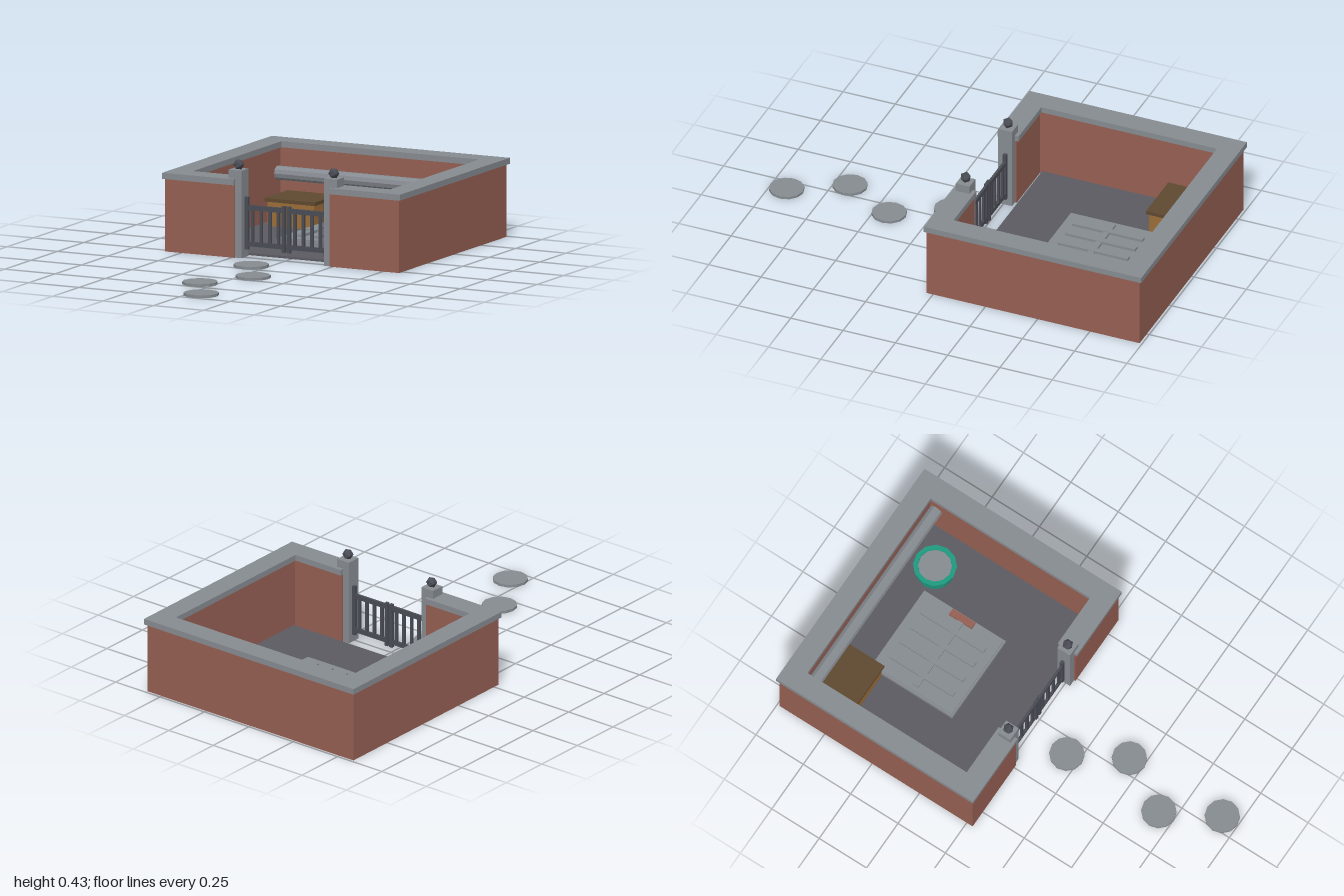
import * as THREE from 'three';

const mat = (name, color, flatShading = false) => {
  const m = new THREE.MeshStandardMaterial({ color, flatShading });
  m.name = name;
  return m;
};

export function createModel() {
  const root = new THREE.Group();
  root.name = 'walledYard';

  const brick = mat('brick', 0x955f53);
  const stone = mat('stone', 0x868b91, true);
  const paving = mat('paving', 0x5b5a62);
  const iron = mat('iron', 0x4a4c55, true);
  const wood = mat('wood', 0x9a6c38);
  const darkWood = mat('darkWood', 0x5e4830);
  const teal = mat('teal', 0x1f9a80, true);

  const add = (name, geo, material, parent = root) => {
    const m = new THREE.Mesh(geo, material);
    m.name = name;
    parent.add(m);
    return m;
  };
  // box from its extents
  const box = (name, x0, x1, y0, y1, z0, z1, material, parent) => {
    const m = add(name, new THREE.BoxGeometry(x1 - x0, y1 - y0, z1 - z0), material, parent);
    m.position.set((x0 + x1) / 2, (y0 + y1) / 2, (z0 + z1) / 2);
    return m;
  };
  // one-piece enclosure outline with an opening at the front
  const enclosure = (name, xo, xi, zb, zbi, zfi, zf, gap, y0, y1, material) => {
    const pts = [[gap, zf], [xo, zf], [xo, zb], [-xo, zb], [-xo, zf], [-gap, zf],
      [-gap, zfi], [-xi, zfi], [-xi, zbi], [xi, zbi], [xi, zfi], [gap, zfi]];
    const shape = new THREE.Shape(pts.map(([x, z]) => new THREE.Vector2(x, -z)));
    const geo = new THREE.ExtrudeGeometry(shape, { depth: y1 - y0, bevelEnabled: false });
    geo.rotateX(-Math.PI / 2);
    add(name, geo, material).position.y = y0;
  };

  // yard walls, coping and floor
  enclosure('brickWall', 0.58, 0.5, -0.988, -0.91, -0.05, 0.031, 0.236, 0, 0.325, brick);
  enclosure('wallCoping', 0.59, 0.49, -1, -0.9, -0.06, 0.04, 0.236, 0.325, 0.352, stone);
  box('yardFloor', -0.5, 0.5, 0, 0.01, -0.91, -0.06, paving);

  // gate pillars, finials and gate leaves
  for (const s of [-1, 1]) {
    const side = new THREE.Group();
    side.name = s > 0 ? 'leftGateSide' : 'rightGateSide';
    root.add(side);
    const bar = (name, xa, xb, y0, y1, d) =>
      box(name, Math.min(s * xa, s * xb), Math.max(s * xa, s * xb), y0, y1, -0.012 - d, -0.012 + d, iron, side);

    box('gatePillar', s * 0.237 - 0.033, s * 0.237 + 0.033, 0, 0.39, -0.042, 0.024, stone, side);
    add('pillarFinial', new THREE.IcosahedronGeometry(0.025, 0), iron, side).position.set(s * 0.236, 0.411, -0.009);

    bar('hingeStile', 0.188, 0.204, 0.035, 0.27, 0.008);
    bar('meetingStile', 0.005, 0.021, 0.035, 0.242, 0.008);
    bar('topRail', 0.021, 0.188, 0.212, 0.234, 0.006);
    bar('bottomRail', 0.021, 0.188, 0.05, 0.07, 0.006);
    for (const x of [0.041, 0.083, 0.126, 0.168]) bar('gateBar', x - 0.007, x + 0.007, 0.07, 0.212, 0.005);
  }

  // pipe along the back wall
  const pipe = add('wallPipe', new THREE.CylinderGeometry(0.031, 0.031, 1, 10), stone);
  pipe.rotation.z = Math.PI / 2;
  pipe.position.set(0, 0.215, -0.879);

  // hatch in the middle of the floor
  box('hatchFrame', -0.213, 0.213, 0.01, 0.032, -0.75, -0.32, stone);
  box('hatchPanel', -0.205, 0.205, 0.032, 0.038, -0.742, -0.328, stone);
  for (const x of [-0.124, -0.042, 0.04, 0.122]) box('hatchRib', x - 0.013, x + 0.013, 0.038, 0.05, -0.705, -0.37, stone);
  box('hatchCrossRib', -0.184, 0.174, 0.038, 0.048, -0.548, -0.519, stone);
  box('hatchHandle', 0.174, 0.206, 0.038, 0.051, -0.595, -0.475, brick);

  // wooden chest
  box('chestBody', -0.45, -0.22, 0.01, 0.12, -0.89, -0.69, wood);
  box('chestLid', -0.46, -0.21, 0.12, 0.136, -0.9, -0.68, darkWood);

  // round tub with a pale lid
  const rim = [[0.001, 0.01], [0.085, 0.01], [0.097, 0.085], [0.076, 0.085], [0.072, 0.06]];
  add('tub', new THREE.LatheGeometry(rim.map(([x, y]) => new THREE.Vector2(x, y)), 12), teal).position.set(0.32, 0, -0.765);
  add('tubFilling', new THREE.CylinderGeometry(0.075, 0.07, 0.02, 12), stone).position.set(0.32, 0.07, -0.765);

  // stepping stones leading to the gate
  [0.19, 0.43, 0.675, 0.92].forEach((z, i) => {
    add('steppingStone', new THREE.CylinderGeometry(0.078, 0.078, 0.012, 12), stone)
      .position.set(i % 2 ? 0.065 : -0.07, 0.006, z);
  });

  return root;
}
